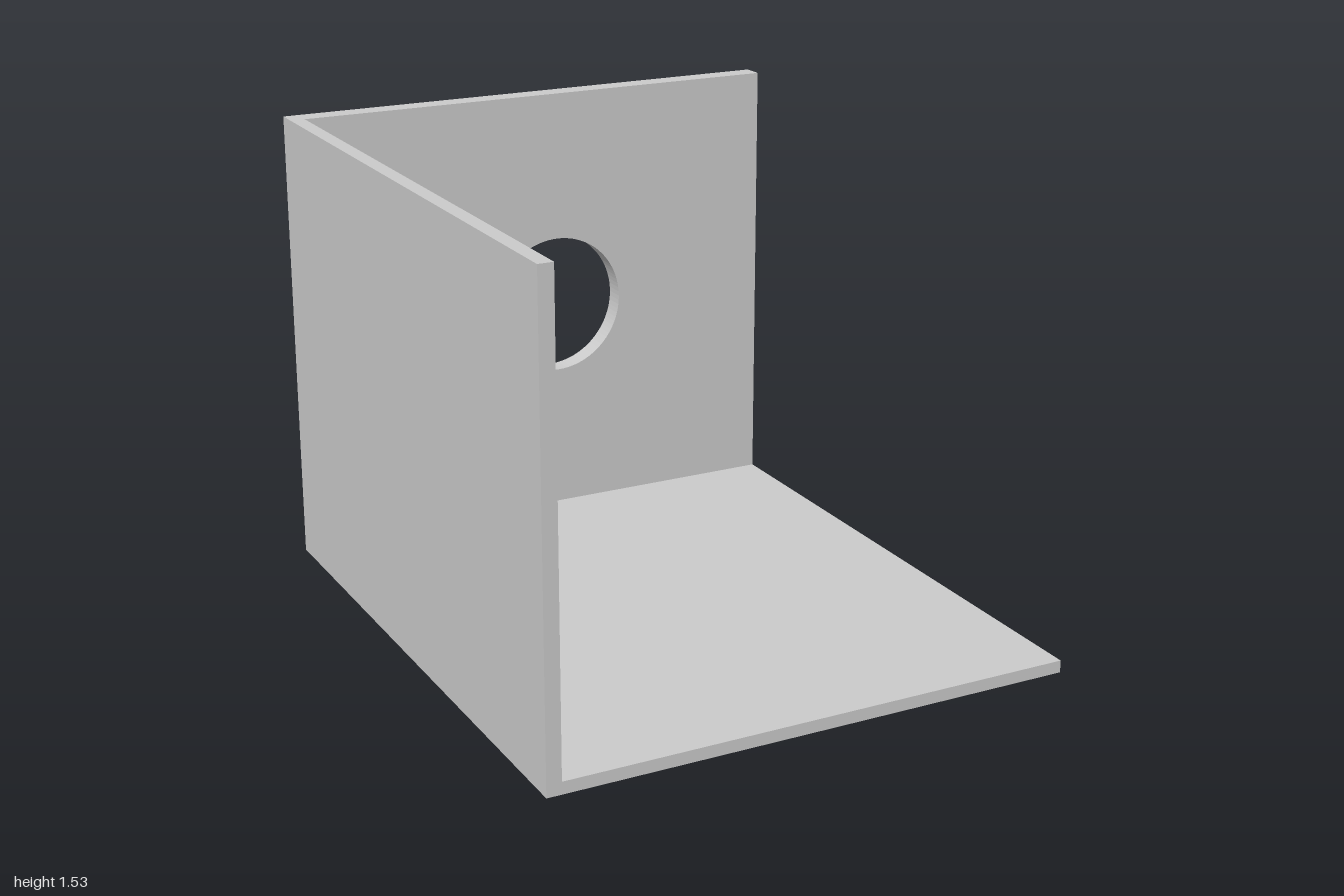
import * as THREE from 'three';

const W = 1.74, H = 1.53, D = 2; // overall size
const SIDE = 0.048, FLOOR = 0.04, BACK = 0.072; // panel thicknesses

export function createModel() {
  const group = new THREE.Group();
  const material = new THREE.MeshStandardMaterial({ color: 0xcccccc });

  const add = (name, geometry, x, y, z) => {
    const mesh = new THREE.Mesh(geometry, material);
    mesh.name = name;
    mesh.position.set(x, y, z);
    group.add(mesh);
  };

  // Back panel with a round hole, centred on the clear inner face
  const outline = new THREE.Shape();
  outline.moveTo(-W / 2, 0);
  outline.lineTo(W / 2, 0);
  outline.lineTo(W / 2, H);
  outline.lineTo(-W / 2, H);
  outline.closePath();
  const hole = new THREE.Path();
  hole.absarc(0.073, 0.778, 0.24, 0, Math.PI * 2, true);
  outline.holes.push(hole);
  add('backPanel', new THREE.ExtrudeGeometry(outline, {
    depth: BACK, bevelEnabled: false, curveSegments: 48,
  }), 0, 0, -D / 2);

  // Side panel on the right, running forward from the back panel
  const depth = D - BACK;
  add('sidePanel', new THREE.BoxGeometry(SIDE, H, depth), -W / 2 + SIDE / 2, H / 2, BACK / 2);

  // Floor fills the remaining corner
  add('floorPanel', new THREE.BoxGeometry(W - SIDE, FLOOR, depth), SIDE / 2, FLOOR / 2, BACK / 2);

  return group;
}
